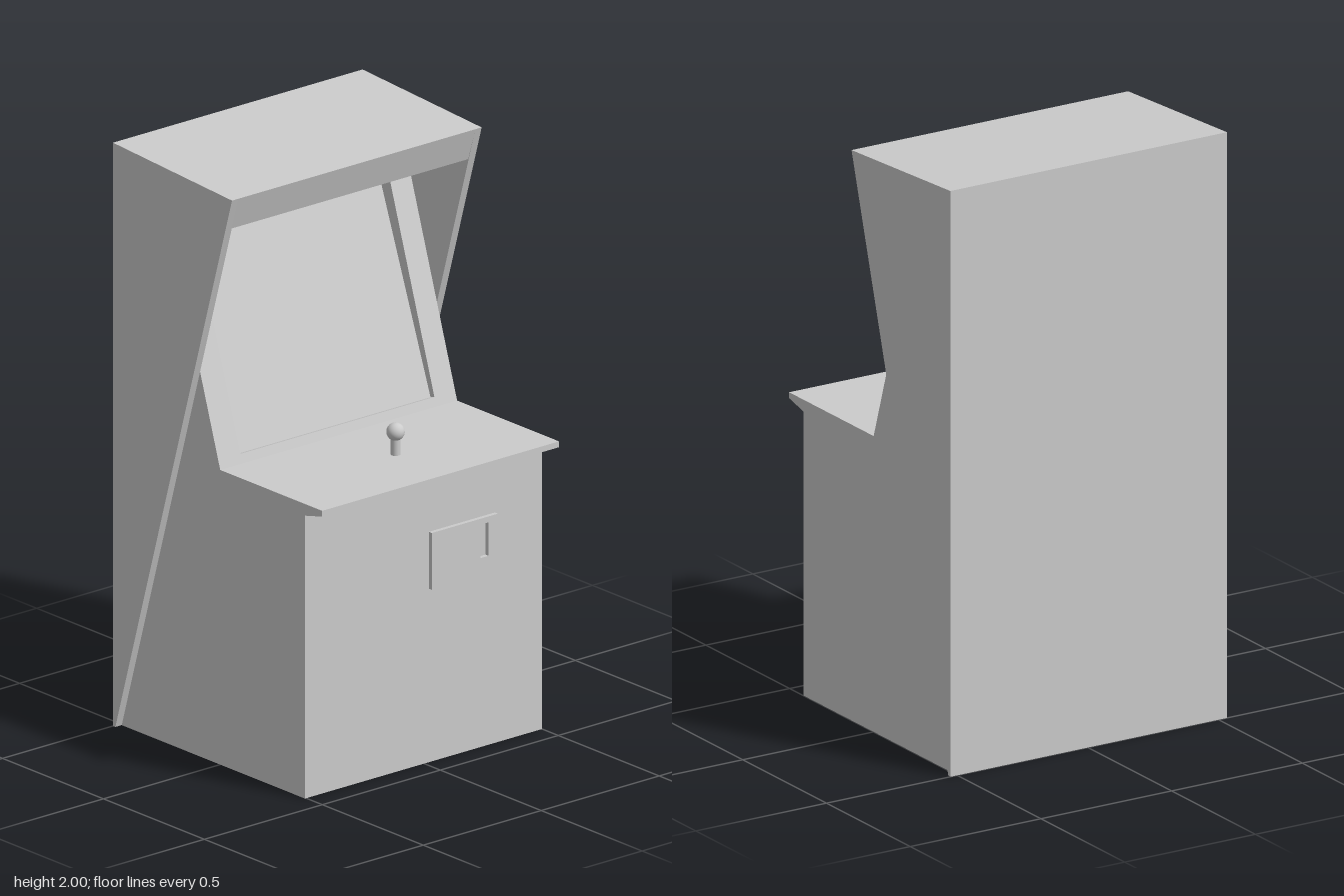
import * as THREE from 'three';

const grey = new THREE.MeshStandardMaterial({ color: 0xcccccc });
const HALF = 0.502, OUTER = 0.529, SHIFT = -0.003;

function shapeOf(points) {
  return new THREE.Shape(points.map(([a, b]) => new THREE.Vector2(a, b)));
}

function rectPath(x0, y0, x1, y1) {
  return new THREE.Path([[x0, y0], [x1, y0], [x1, y1], [x0, y1]].map(([x, y]) => new THREE.Vector2(x, y)));
}

function add(group, name, geometry) {
  const mesh = new THREE.Mesh(geometry, grey);
  mesh.name = name;
  group.add(mesh);
  return mesh;
}

// Extrudes a side profile of [z, y] points between x0 and x1
function sideExtrude(points, x0, x1) {
  const geometry = new THREE.ExtrudeGeometry(shapeOf(points), { depth: x1 - x0, bevelEnabled: false });
  return geometry.rotateY(-Math.PI / 2).translate(x1 + SHIFT, 0, 0);
}

export function createModel() {
  const model = new THREE.Group();
  model.name = 'arcadeCabinet';

  // Cabinet with control deck lip; its upper slope is the recessed screen
  add(model, 'cabinetBody', sideExtrude([
    [-0.5, 0], [0.42, 0], [0.42, 0.97], [0.505, 0.99], [0.505, 1.01],
    [-0.02, 1.01], [-0.31, 1.8], [-0.5, 1.8],
  ], -HALF, HALF));

  // Sloping frame around the screen
  const frame = shapeOf([[-HALF, 0], [HALF, 0], [HALF, 0.84], [-HALF, 0.84]]);
  frame.holes.push(rectPath(-0.408, 0.032, 0.414, 0.788));
  const frameGeometry = new THREE.ExtrudeGeometry(frame, { depth: 0.12, bevelEnabled: false });
  frameGeometry.translate(SHIFT, 0, -0.12).rotateX(-Math.atan2(0.255, 0.79)).translate(0, 1.01, 0);
  add(model, 'screenFrame', frameGeometry);

  // Overhanging hood
  add(model, 'hood', sideExtrude([
    [-0.5, 1.8], [-0.255, 1.8], [0.055, 1.853], [0.09, 1.965], [-0.5, 2],
  ], -OUTER, OUTER));

  // Tapered side panels
  for (const side of [-1, 1]) {
    const inner = side * HALF, outer = side * OUTER;
    add(model, side > 0 ? 'leftSidePanel' : 'rightSidePanel', sideExtrude(
      [[-0.5, 0], [-0.488, 0], [0.09, 1.965], [-0.5, 2]],
      Math.min(inner, outer), Math.max(inner, outer)));
  }

  // Coin door with recessed slot
  const door = shapeOf([[0.02, 0.595], [0.3, 0.595], [0.3, 0.79], [0.02, 0.79]]);
  door.holes.push(rectPath(0.226, 0.655, 0.26, 0.77));
  add(model, 'coinDoor', new THREE.ExtrudeGeometry(door, { depth: 0.025, bevelEnabled: false }).translate(0, 0, 0.41));

  // Joystick
  add(model, 'joystickShaft', new THREE.CylinderGeometry(0.016, 0.016, 0.08, 16)).position.set(0.02, 1.045, 0.255);
  add(model, 'joystickBall', new THREE.SphereGeometry(0.03, 24, 16)).position.set(0.02, 1.088, 0.255);

  return model;
}
